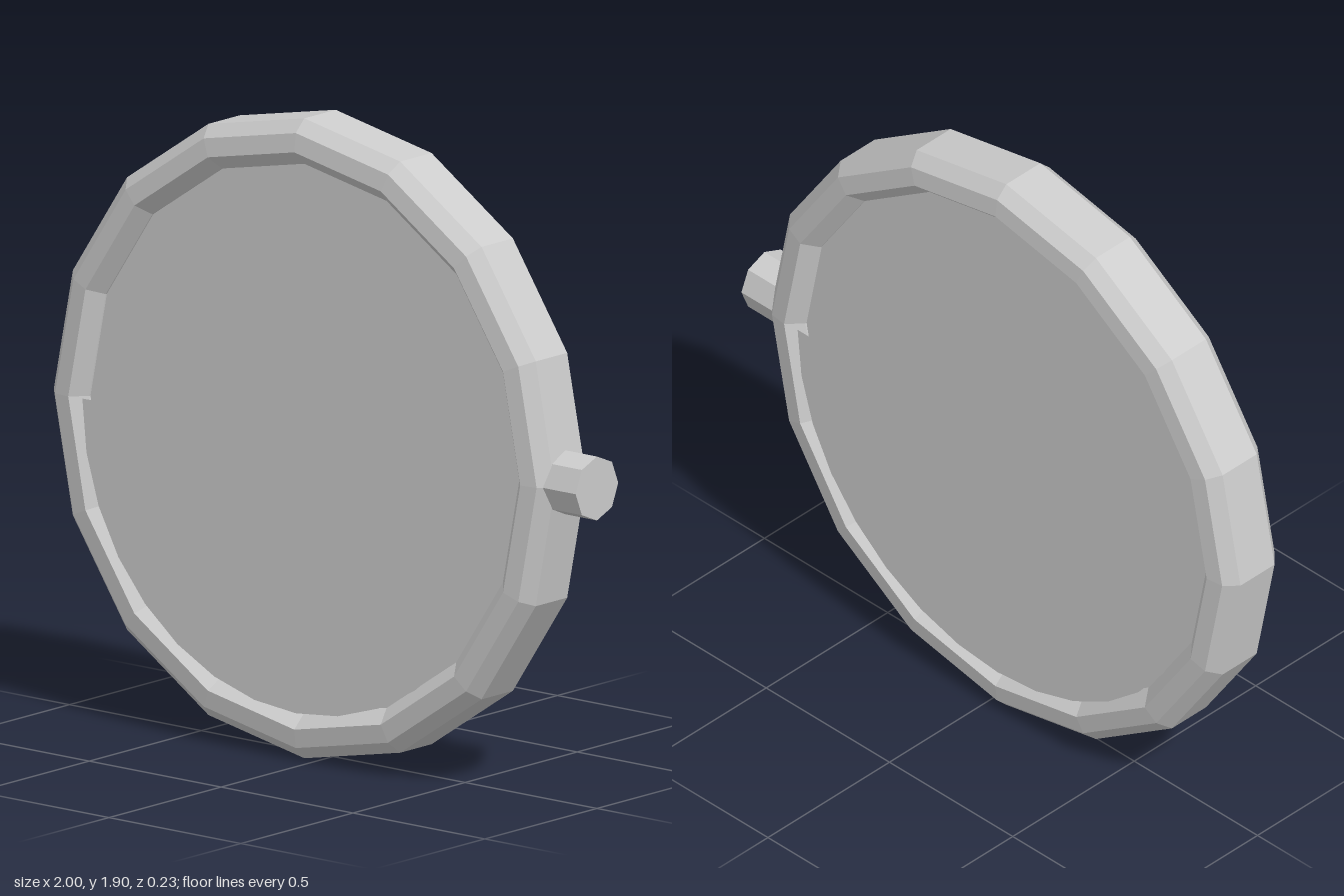
import * as THREE from 'three';

export function createModel() {
  const model = new THREE.Group();
  const grey = new THREE.MeshStandardMaterial({ color: 0xcccccc, flatShading: true });
  grey.name = 'light grey';

  const add = (name, geometry, parent = model) => {
    const mesh = new THREE.Mesh(geometry, grey);
    mesh.name = name;
    parent.add(mesh);
    return mesh;
  };

  const body = new THREE.Group();
  body.name = 'body';
  body.position.set(-0.05, 0.95, 0);
  model.add(body);

  // Sixteen-sided rim with a bevelled, slightly crowned cross-section
  const profile = [
    [0.95, -0.07], [0.95, 0.07], [0.913, 0.108], [0.857, 0.115],
    [0.815, 0.07], [0.815, -0.07], [0.857, -0.115], [0.913, -0.108], [0.95, -0.07],
  ].map(([r, z]) => new THREE.Vector2(r, z));
  add('rim', new THREE.LatheGeometry(profile, 16).rotateX(Math.PI / 2), body);

  // Recessed disc filling the rim
  add('disc', new THREE.CylinderGeometry(0.815, 0.815, 0.13, 32).rotateX(Math.PI / 2), body);

  // Thin sheets on both faces: raised lower half and sun emblem
  const half = new THREE.CircleGeometry(0.81, 16, Math.PI, Math.PI);
  const sunCentre = new THREE.CircleGeometry(0.112, 24);
  const ray = new THREE.ShapeGeometry(new THREE.Shape([
    new THREE.Vector2(0.13, -0.022), new THREE.Vector2(0.174, 0), new THREE.Vector2(0.13, 0.022),
  ]));
  for (const side of [1, -1]) {
    const turn = side > 0 ? 0 : Math.PI;
    const lower = add('lowerHalf', half, body);
    lower.position.z = side * 0.107;
    lower.rotation.y = turn;

    const sun = new THREE.Group();
    sun.name = 'sun';
    sun.position.set(-0.445, 0.235, side * 0.09);
    sun.rotation.y = turn;
    body.add(sun);
    add('sunCentre', sunCentre, sun);
    for (let i = 0; i < 8; i++) {
      add('sunRay', ray, sun).rotation.z = i * Math.PI / 4;
    }
  }

  // Eight-sided knob on the side
  const knob = add('knob', new THREE.CylinderGeometry(0.095, 0.095, 0.16, 8).rotateZ(-Math.PI / 2));
  knob.position.set(0.92, 0.95, 0);

  return model;
}
